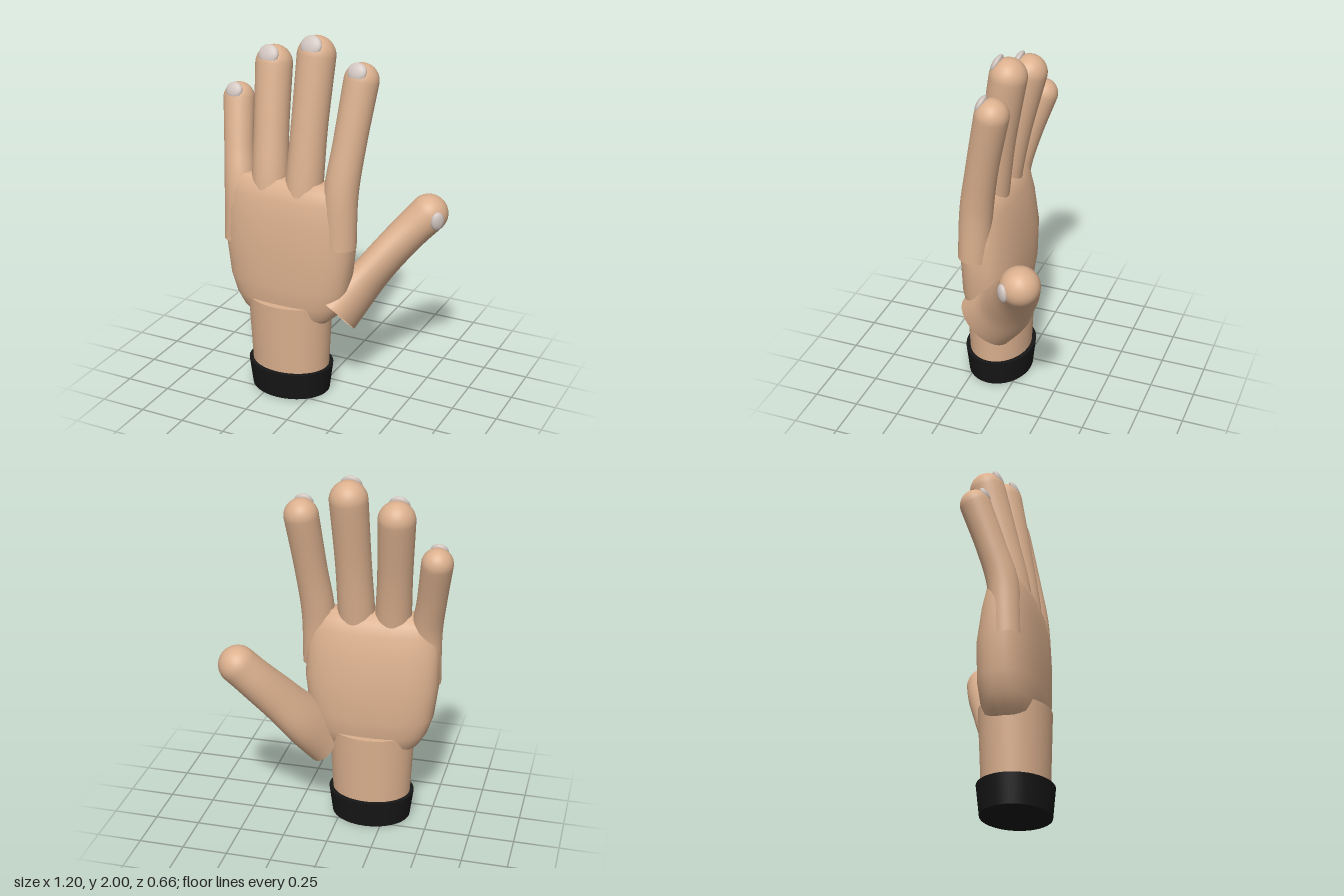
import * as THREE from 'three';

const V = (x, y, z) => new THREE.Vector3(x, y, z);

const skin = new THREE.MeshStandardMaterial({ color: 0xdbb08e, side: THREE.DoubleSide });
skin.name = 'skin';
const nailGrey = new THREE.MeshStandardMaterial({ color: 0xd0c4be });
nailGrey.name = 'nailGrey';
const cuffBlack = new THREE.MeshStandardMaterial({ color: 0x161616 });
cuffBlack.name = 'cuffBlack';

// Skin over a stack of equal-sized closed rings
function loft(rings) {
  const n = rings[0].length, index = [];
  for (let i = 0; i < rings.length - 1; i++) {
    for (let j = 0; j < n; j++) {
      const k = (j + 1) % n, a = i * n + j, b = i * n + k;
      index.push(a, b, b + n, a, b + n, a + n);
    }
  }
  const g = new THREE.BufferGeometry().setFromPoints(rings.flat());
  g.setIndex(index);
  g.computeVertexNormals();
  return g;
}

// Round-tipped digit, open at its base; each radius pair is [sideways, depth]
function digitGeometry(centres, radiusPairs, steps = 28, sides = 32) {
  const path = new THREE.CatmullRomCurve3(centres);
  const radii = new THREE.CatmullRomCurve3(radiusPairs.map(([n, w], i) => V(n, w, i)));
  const ring = (c, t, rn, rw) => {
    const n = V(1, 0, 0).addScaledVector(t, -t.x).normalize();
    const w = t.clone().cross(n);
    return Array.from({ length: sides }, (_, j) => {
      const a = j / sides * Math.PI * 2;
      return c.clone().addScaledVector(n, rn * Math.cos(a)).addScaledVector(w, rw * Math.sin(a));
    });
  };
  const rings = [];
  for (let i = 0; i <= steps; i++) {
    const r = radii.getPoint(i / steps);
    rings.push(ring(path.getPoint(i / steps), path.getTangent(i / steps), r.x, r.y));
  }
  // hemispherical tip
  const end = path.getPoint(1), t = path.getTangent(1), r = radii.getPoint(1);
  for (let i = 1; i <= 10; i++) {
    const a = i / 10 * Math.PI / 2, k = Math.max(Math.cos(a), 0.001);
    rings.push(ring(end.clone().addScaledVector(t, r.x * Math.sin(a)), t, r.x * k, r.y * k));
  }
  return loft(rings);
}

// Palm from rounded sections: [y, left x, right x, back z, front z]
function palmGeometry() {
  const sections = [
    [0.42, -0.17, -0.16, 0.13, 0.14], [0.42, -0.33, 0.01, 0.07, 0.2],
    [0.44, -0.385, 0.07, 0.03, 0.24], [0.48, -0.43, 0.115, 0, 0.265],
    [0.55, -0.472, 0.155, -0.018, 0.28], [0.65, -0.505, 0.187, -0.03, 0.29],
    [0.85, -0.53, 0.21, -0.03, 0.292], [1.03, -0.528, 0.203, 0, 0.28],
    [1.14, -0.513, 0.188, 0.028, 0.261], [1.2, -0.495, 0.165, 0.055, 0.241],
    [1.235, -0.45, 0.12, 0.09, 0.21], [1.24, -0.17, -0.16, 0.14, 0.15],
  ];
  const sq = v => Math.sign(v) * Math.abs(v) ** 0.78;
  return loft(sections.map(([y, xl, xr, zb, zf]) => Array.from({ length: 64 }, (_, j) => {
    const a = j / 64 * Math.PI * 2;
    return V((xl + xr) / 2 + (xr - xl) / 2 * sq(Math.cos(a)), y,
      (zb + zf) / 2 - (zf - zb) / 2 * sq(Math.sin(a)));
  })));
}

export function createModel() {
  const model = new THREE.Group();
  model.name = 'hand';
  const add = (name, geometry, material) => {
    const m = new THREE.Mesh(geometry, material);
    m.name = name;
    model.add(m);
    return m;
  };

  add('palm', palmGeometry(), skin);

  // Wrist and cuff are oval cylinders on one axis
  const oval = (name, rTop, rBottom, depth, y0, y1, material) => {
    const m = add(name, new THREE.CylinderGeometry(rTop, rBottom, y1 - y0, 48), material);
    m.scale.z = depth;
    m.position.set(-0.163, (y0 + y1) / 2, 0.132);
  };
  oval('wrist', 0.24, 0.215, 0.78, 0.06, 0.55, skin);
  oval('cuff', 0.242, 0.222, 0.81, 0, 0.155, cuffBlack);

  // Nails are flattened spheres turned towards a facing direction
  const addNail = (name, position, facing, width, height) => {
    const nail = add(name, new THREE.SphereGeometry(1, 24, 16), nailGrey);
    nail.scale.set(width, height, 0.022);
    nail.position.copy(position);
    nail.quaternion.setFromUnitVectors(V(0, 0, 1), facing.normalize());
  };

  // Fingers run from base to knuckle to tip, slimmer halfway along
  const addFinger = (name, r, baseX, baseY, knuckleX, knuckleY, tip) => {
    const knuckle = V(knuckleX, knuckleY, 0.147);
    const middle = knuckle.clone().lerp(tip, 0.45);
    middle.z += 0.006;
    const radii = [0.95, 0.99, 0.95, 1].map(k => [k * r, k * r * 0.98]);
    add(name, digitGeometry([V(baseX, baseY, 0.165), knuckle, middle, tip], radii), skin);
    addNail(name + 'Nail', tip.clone().add(V(0, 0.62 * r, 0.6 * r)), V(0, 0.45, 1), 0.57 * r, 0.54 * r);
  };
  addFinger('indexFinger', 0.092, 0.15, 0.905, 0.147, 1.2, V(0.205, 1.785, 0.035));
  addFinger('middleFinger', 0.102, -0.075, 1, -0.067, 1.2, V(-0.045, 1.888, 0.042));
  addFinger('ringFinger', 0.099, -0.26, 1, -0.268, 1.2, V(-0.302, 1.808, 0.022));
  addFinger('littleFinger', 0.084, -0.455, 0.845, -0.453, 1.15, V(-0.518, 1.592, 0.02));

  // Thumb flares to a wide open base
  add('thumb', digitGeometry(
    [V(0.11, 0.475, 0.115), V(0.2, 0.63, -0.02), V(0.305, 0.785, -0.11), V(0.405, 0.915, -0.18), V(0.49, 1.015, -0.222)],
    [[0.105, 0.172], [0.098, 0.15], [0.096, 0.13], [0.1, 0.115], [0.105, 0.106]],
  ), skin);
  addNail('thumbNail', V(0.566, 1.005, -0.157), V(0.75, -0.05, 0.65), 0.038, 0.052);
  return model;
}
